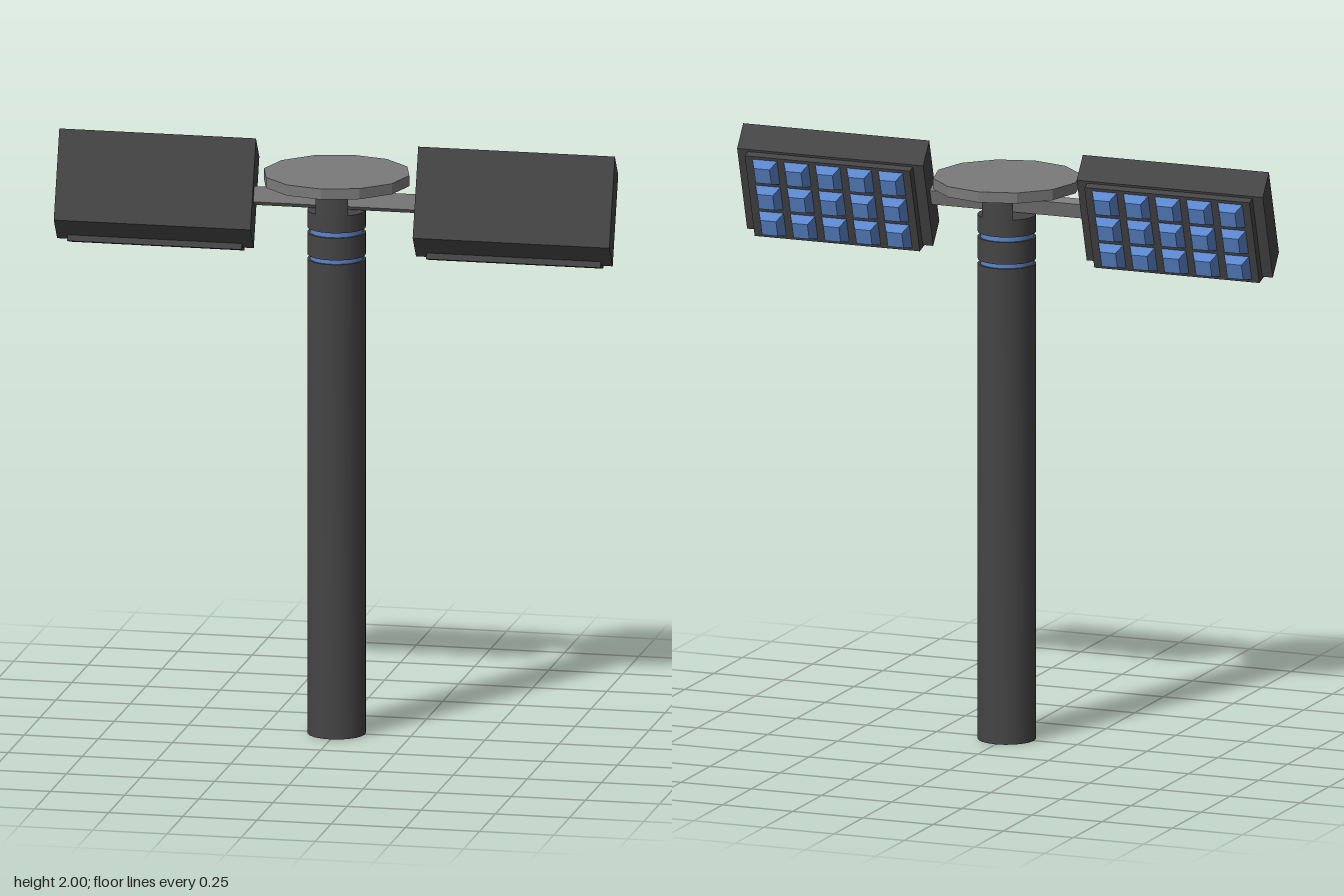
import * as THREE from 'three';
import { toCreasedNormals } from 'three/addons/utils/BufferGeometryUtils.js';

const material = (name, color) => {
  const m = new THREE.MeshStandardMaterial({ color });
  m.name = name;
  return m;
};

export function createModel() {
  const dark = material('charcoal', 0x454545);
  const grey = material('mid grey', 0x7a7a7a);
  const blue = material('cell blue', 0x5b86cc);
  const model = new THREE.Group();
  model.name = 'solarMast';

  const add = (parent, name, geometry, mat, x = 0, y = 0, z = 0) => {
    const mesh = new THREE.Mesh(geometry, mat);
    mesh.name = name;
    mesh.position.set(x, y, z);
    parent.add(mesh);
    return mesh;
  };

  // Cylinder standing between two heights
  const ring = (name, r, y0, y1, mat) =>
    add(model, name, new THREE.CylinderGeometry(r, r, y1 - y0, 20), mat, 0, (y0 + y1) / 2);

  // Pole with a six-sided socket in its foot
  const profile = [[0.097, 0], [0.097, 1.61], [0, 1.61]].map(p => new THREE.Vector2(...p));
  add(model, 'pole', toCreasedNormals(new THREE.LatheGeometry(profile, 20), 0.6), dark);
  const foot = new THREE.Shape().absarc(0, 0, 0.097, 0, Math.PI * 2);
  const hole = new THREE.Path();
  for (let i = 0; i < 6; i++) {
    const a = -i * Math.PI / 3;
    hole[i ? 'lineTo' : 'moveTo'](0.037 * Math.cos(a), 0.037 * Math.sin(a));
  }
  hole.closePath();
  foot.holes.push(hole);
  add(model, 'poleFoot', new THREE.ShapeGeometry(foot, 10).rotateX(Math.PI / 2), dark);
  const socket = new THREE.CylinderGeometry(0.037, 0.037, 0.06, 6, 1, true);
  const socketMat = dark.clone();
  socketMat.side = THREE.DoubleSide;
  add(model, 'socketWall', socket.rotateY(Math.PI / 6), socketMat, 0, 0.03);
  add(model, 'socketEnd', new THREE.CircleGeometry(0.037, 6).rotateX(Math.PI / 2), dark, 0, 0.06);

  // Neck: two recessed blue bands between dark collars
  ring('lowerBand', 0.089, 1.61, 1.625, blue);
  ring('lowerCollar', 0.097, 1.625, 1.7, dark);
  ring('upperBand', 0.089, 1.7, 1.717, blue);
  ring('upperCollar', 0.097, 1.717, 1.775, dark);
  ring('neckCap', 0.097, 1.855, 1.866, dark);

  // Front and back cheeks that leave a tunnel for the arm
  const a = Math.asin(0.08 / 0.097);
  const cheek = new THREE.Shape().absarc(0, 0, 0.097, a, Math.PI - a);
  const cheekGeo = new THREE.ExtrudeGeometry(cheek, { depth: 0.08, bevelEnabled: false, curveSegments: 6 })
    .rotateX(-Math.PI / 2);
  for (const turn of [0, Math.PI]) {
    add(model, turn ? 'frontCheek' : 'backCheek', cheekGeo, dark, 0, 1.775).rotation.y = turn;
  }

  // Twelve-sided top disc
  const disc = new THREE.CylinderGeometry(0.245, 0.245, 0.036, 12).toNonIndexed();
  disc.computeVertexNormals();
  add(model, 'topDisc', disc, grey, 0, 1.884);

  // Box skewed so its height and depth follow the given directions
  const skewBox = (width, up, front) => new THREE.BoxGeometry(1, 1, 1).applyMatrix4(
    new THREE.Matrix4().makeBasis(new THREE.Vector3(width, 0, 0), up, front));
  const vec = (y, z) => new THREE.Vector3(0, y, z);
  const up = vec(0.29, -0.087);
  const unitUp = up.clone().normalize();
  const normal = vec(-unitUp.z, unitUp.y);

  // Arm running through the neck
  add(model, 'arm', skewBox(0.62, vec(0.05, -0.015), vec(0.015, 0.02)), grey, 0, 1.812, 0.016);

  // Tapered cell, narrower towards the back
  const cellGeo = new THREE.BoxGeometry(0.09, 0.088, 0.034);
  const p = cellGeo.attributes.position;
  for (let i = 0; i < p.count; i++) {
    if (p.getZ(i) < 0) p.setXY(i, p.getX(i) * 0.62, p.getY(i) * 0.62);
  }
  cellGeo.computeVertexNormals();
  cellGeo.applyMatrix4(new THREE.Matrix4().makeBasis(new THREE.Vector3(1, 0, 0), unitUp, normal));

  // Panels on both sides
  const housing = skewBox(0.663, up, vec(0.074, 0.053));
  const plate = skewBox(0.588, up, normal.clone().multiplyScalar(0.045));
  for (const side of [1, -1]) {
    const panel = new THREE.Group();
    panel.name = side > 0 ? 'leftPanel' : 'rightPanel';
    panel.position.x = side * 0.605;
    model.add(panel);
    add(panel, 'housing', housing, dark, 0, 1.818, 0.01);
    const back = vec(1.765, -0.042);
    const mid = back.clone().addScaledVector(normal, 0.0225);
    add(panel, 'backPlate', plate, dark, 0, mid.y, mid.z);
    for (let row = -1; row <= 1; row++) {
      for (let col = -2; col <= 2; col++) {
        const c = back.clone().addScaledVector(unitUp, row * 0.098).addScaledVector(normal, -0.015);
        add(panel, 'cell', cellGeo, blue, col * 0.112, c.y, c.z);
      }
    }
  }
  return model;
}
